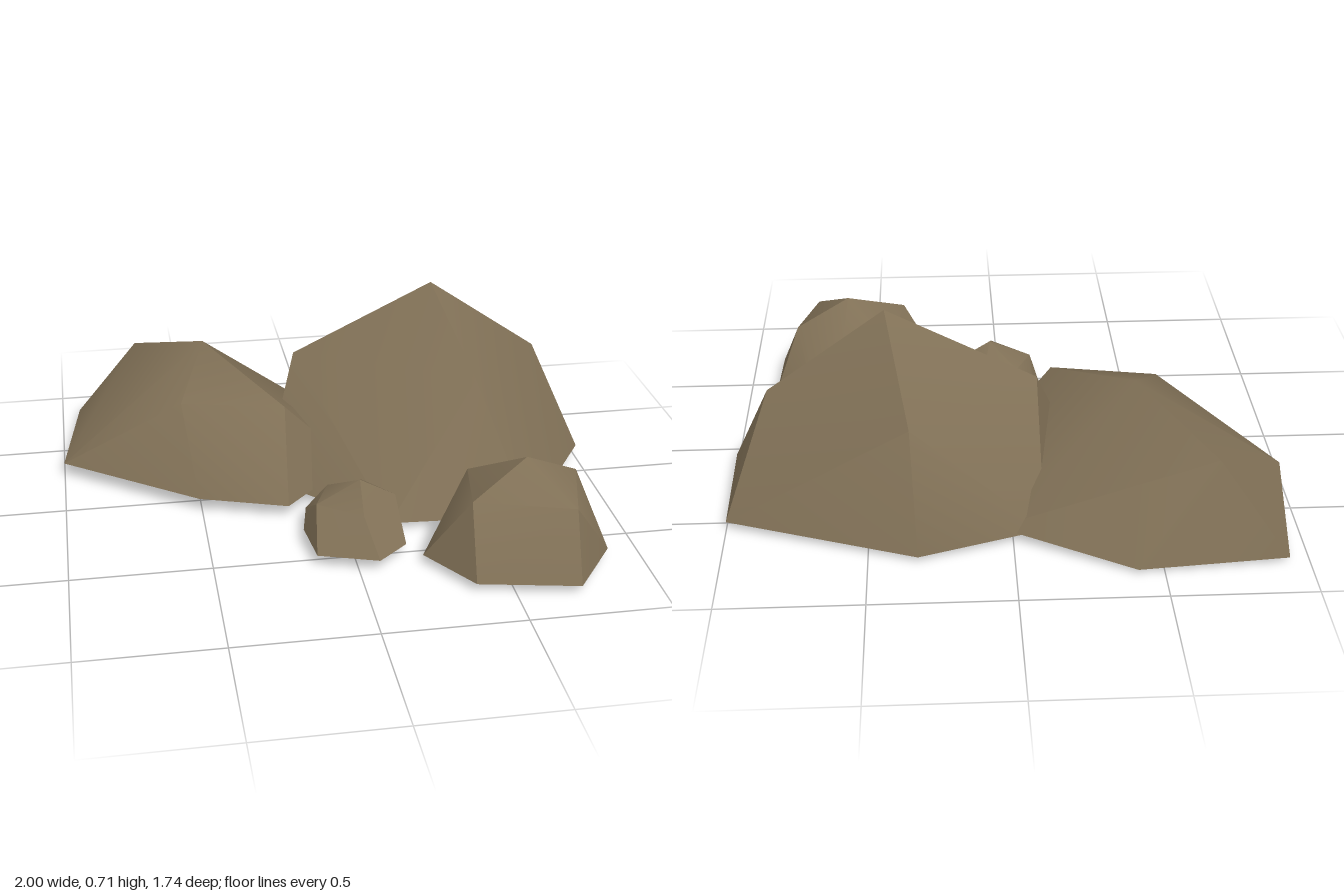
import * as THREE from 'three';
import { ConvexGeometry } from 'three/addons/geometries/ConvexGeometry.js';
import { toCreasedNormals } from 'three/addons/utils/BufferGeometryUtils.js';

const stone = new THREE.MeshStandardMaterial({ color: 0x807056, side: THREE.DoubleSide });
stone.name = 'stone brown';

// A boulder is an open-bottomed faceted shell around a base ring, a shoulder ring and a peak.
function makeRock(name, base, shoulder, peak) {
  const points = [...base, ...shoulder, peak].map((p) => new THREE.Vector3(...p));
  const hull = new ConvexGeometry(points).getAttribute('position');
  const kept = [];
  const a = new THREE.Vector3(), b = new THREE.Vector3(), c = new THREE.Vector3();
  const tri = new THREE.Triangle(a, b, c), n = new THREE.Vector3();
  for (let i = 0; i < hull.count; i += 3) {
    a.fromBufferAttribute(hull, i);
    b.fromBufferAttribute(hull, i + 1);
    c.fromBufferAttribute(hull, i + 2);
    tri.getNormal(n);
    if (n.y < -0.7) continue; // leave the underside open
    kept.push(...a.toArray(), ...b.toArray(), ...c.toArray());
  }
  const shell = new THREE.BufferGeometry();
  shell.setAttribute('position', new THREE.Float32BufferAttribute(kept, 3));
  const mesh = new THREE.Mesh(toCreasedNormals(shell, 0.7), stone);
  mesh.name = name;
  return mesh;
}

export function createModel() {
  const group = new THREE.Group();
  group.name = 'rockCluster';

  // Tallest boulder
  group.add(makeRock('largeRock',
    [[0.33, 0.02, -0.77], [1, 0.03, -0.54], [1, 0.05, -0.12], [0.69, 0, 0.32],
      [0.16, 0.03, 0.34], [-0.25, 0.03, -0.07], [-0.11, 0.03, -0.64]],
    [[-0.1, 0.45, -0.3], [0.53, 0.46, 0.08], [0.85, 0.42, -0.3], [0.35, 0.44, -0.64]],
    [0.43, 0.715, -0.28]));

  // Broad boulder behind
  group.add(makeRock('broadRock',
    [[-0.93, 0.02, -0.83], [-0.41, 0.015, -0.87], [0.06, 0.04, -0.63], [0.1, 0.05, -0.12],
      [-0.19, 0.05, 0.19], [-0.51, 0.055, 0.09], [-1, 0.055, -0.28]],
    [[-0.69, 0.35, -0.73], [-0.17, 0.345, -0.04], [-0.55, 0.35, -0.12]],
    [-0.44, 0.48, -0.4]));

  // Small boulder in front
  group.add(makeRock('smallRock',
    [[0.23, 0.03, 0.58], [0.37, 0.03, 0.8], [0.72, 0.03, 0.87], [0.88, 0.035, 0.65],
      [0.89, 0.035, 0.39], [0.73, 0.035, 0.24], [0.42, 0.03, 0.27]],
    [[0.38, 0.27, 0.66], [0.73, 0.255, 0.74], [0.8, 0.27, 0.48], [0.62, 0.25, 0.36], [0.43, 0.25, 0.38]],
    [0.6, 0.365, 0.54]));

  // Smallest stone
  group.add(makeRock('tinyRock',
    [[-0.16, 0.045, 0.36], [-0.14, 0.045, 0.55], [0.07, 0.045, 0.62], [0.18, 0.05, 0.53],
      [0.195, 0.05, 0.33], [0.04, 0.05, 0.2], [-0.13, 0.05, 0.21]],
    [[-0.12, 0.165, 0.4], [0.03, 0.17, 0.52], [0.17, 0.165, 0.37], [0.07, 0.17, 0.25], [-0.06, 0.17, 0.27]],
    [0.04, 0.24, 0.38]));

  return group;
}
